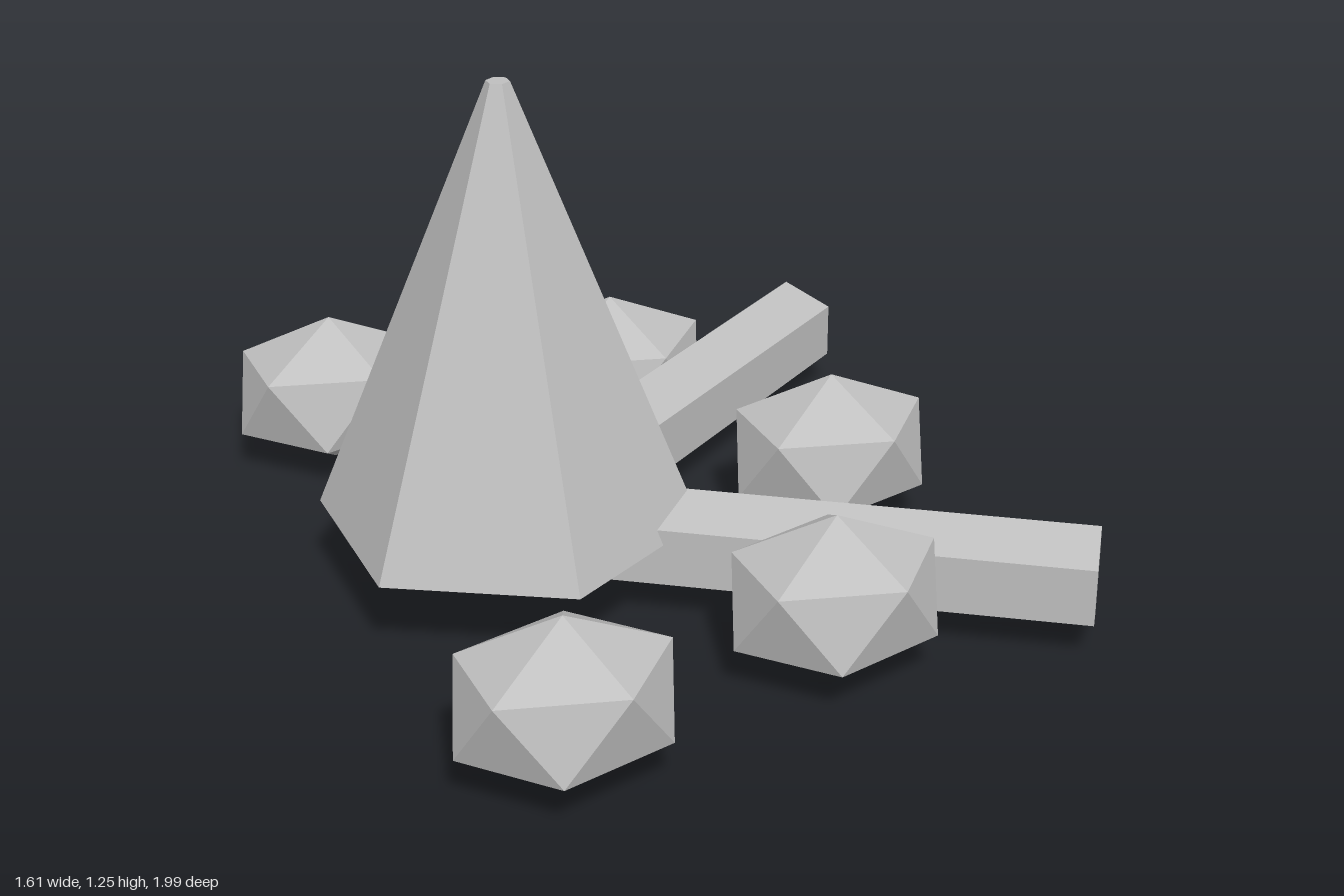
import * as THREE from 'three';

export function createModel() {
  const model = new THREE.Group();
  model.name = 'campsite';
  const grey = new THREE.MeshStandardMaterial({ color: 0xbfbfbf, flatShading: true });
  grey.name = 'plain grey';

  const add = (name, geometry, x, y, z) => {
    const mesh = new THREE.Mesh(geometry, grey);
    mesh.name = name;
    mesh.position.set(x, y, z);
    model.add(mesh);
    return mesh;
  };

  // Six-sided tapered cone with a small flat tip
  const coneX = -0.385;
  add('cone', new THREE.CylinderGeometry(0.027, 0.447, 1.05, 6), coneX, 0.725, 0);

  // Two five-sided logs spreading from under the cone
  const length = 1.355;
  const log = new THREE.CylinderGeometry(0.118, 0.118, length, 5)
    .rotateY(Math.PI)
    .translate(0, length / 2, 0)
    .rotateZ(-Math.PI / 2);
  for (const side of [1, -1]) {
    add(side > 0 ? 'frontLog' : 'backLog', log, coneX, 0.168, 0).rotation.y = -0.6 * side;
  }

  // Ring of stones: icosahedra standing on one corner, stretched sideways
  const stone = new THREE.IcosahedronGeometry(1, 0)
    .rotateZ(-Math.atan2(2, 1 + Math.sqrt(5)))
    .scale(0.271, 0.195, 0.223);
  const spots = [[0.446, 0], [0.135, 0.645], [0.135, -0.645], [-0.565, 0.807], [-0.565, -0.807]];
  spots.forEach(([x, z], i) => add(`stone${i + 1}`, stone, x, 0.2, z));

  return model;
}
